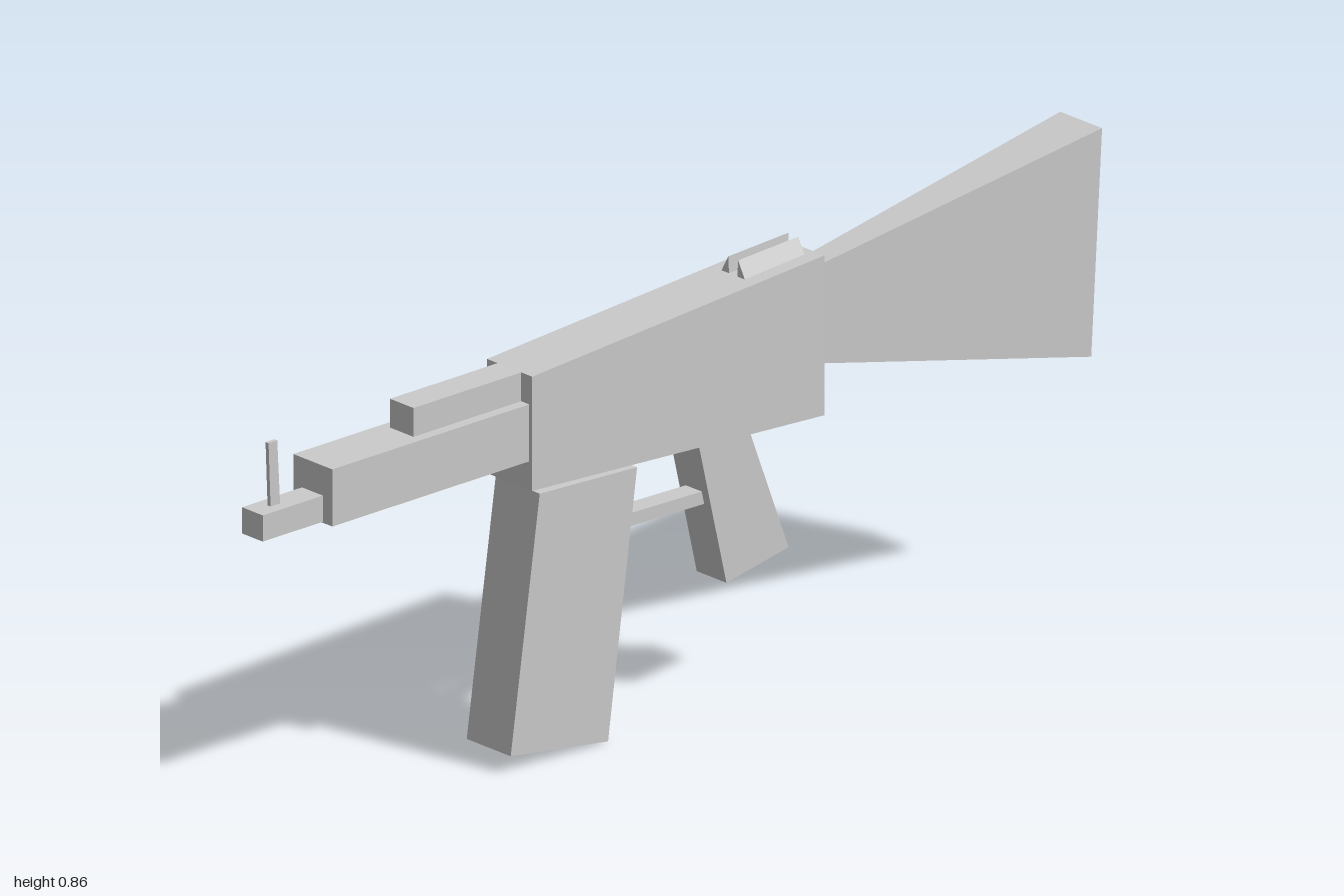
import * as THREE from 'three';

const material = new THREE.MeshStandardMaterial({ color: 0xcccccc, flatShading: true });

// Extrudes an outline of [a, b] points along +z by depth.
function extrude(points, depth) {
  const shape = new THREE.Shape(points.map(([a, b]) => new THREE.Vector2(a, b)));
  return new THREE.ExtrudeGeometry(shape, { depth, bevelEnabled: false });
}

// A slab with a side outline of [z, y] points, spanning x0 to x1.
function slab(points, x0, x1) {
  return extrude(points, x1 - x0).rotateY(-Math.PI / 2).translate(x1, 0, 0);
}

// Moves every vertex by a rule.
function reshape(geometry, rule) {
  const pos = geometry.attributes.position;
  const v = new THREE.Vector3();
  for (let i = 0; i < pos.count; i++) {
    rule(v.fromBufferAttribute(pos, i));
    pos.setXYZ(i, v.x, v.y, v.z);
  }
  geometry.computeVertexNormals();
  return geometry;
}

export function createModel() {
  const model = new THREE.Group();
  const midX = 0.005;
  const add = (name, geometry) => {
    const mesh = new THREE.Mesh(geometry, material);
    mesh.name = name;
    model.add(mesh);
  };
  const rect = (z0, z1, y0, y1) => [[z0, y0], [z1, y0], [z1, y1], [z0, y1]];

  // Main body
  add('receiver', slab([[0.38, 0.527], [0.38, 0.745], [-0.325, 0.792], [-0.325, 0.487]], -0.054, 0.065));

  // Stock, widening towards the rear
  const stock = slab([[-0.325, 0.575], [-0.325, 0.755], [-1, 0.857], [-0.975, 0.427]], -1, 1);
  add('stock', reshape(stock, (v) => {
    const t = (-0.325 - v.z) / 0.675;
    v.x = midX + v.x * THREE.MathUtils.lerp(0.023, 0.055, t);
  }));

  // Barrel group
  add('handguard', slab(rect(0.37, 0.855, 0.581, 0.69), -0.046, 0.057));
  add('upperTube', slab(rect(0.37, 0.64, 0.685, 0.745), -0.026, 0.036));
  add('muzzle', slab(rect(0.85, 1, 0.583, 0.633), -0.023, 0.032));
  add('frontSight', slab([[0.96, 0.63], [0.965, 0.755], [0.944, 0.755], [0.937, 0.63]], 0.001, 0.009));

  // Parts below the body
  add('magazine', slab([[0.43, 0.033], [0.36, 0.516], [0.125, 0.505], [0.195, 0]], -0.053, 0.063));
  add('grip', slab([[-0.108, 0.218], [-0.04, 0.503], [-0.165, 0.49], [-0.258, 0.247]], -0.034, 0.044));
  add('triggerGuard', slab([[0.15, 0.378], [0.15, 0.403], [-0.08, 0.398], [-0.08, 0.373]], -0.016, 0.026));

  // Rear sight: two low wedges rising slightly to the rear
  for (const side of [-1, 1]) {
    const wedge = extrude([[0.011, 0.785], [0.031, 0.785], [0.013, 0.817]], 0.145).translate(0, 0, -0.305);
    if (side < 0) wedge.rotateY(Math.PI).translate(0, 0, -0.465);
    add(side < 0 ? 'rearSightRight' : 'rearSightLeft', reshape(wedge, (v) => {
      v.x += midX;
      v.y -= 0.05 * (v.z + 0.25);
    }));
  }

  // Right-side details
  add('sidePlate', slab(rect(0.1, 0.35, 0.645, 0.703), -0.068, -0.052));
  const lever = slab([[-0.235, 0.64], [-0.225, 0.58], [0.06, 0.526], [0.07, 0.55]], -0.065, -0.052);
  add('selectorLever', reshape(lever, (v) => {
    if (v.x < -0.06) v.x += 0.02 * (v.z + 0.235);
  }));

  return model;
}
